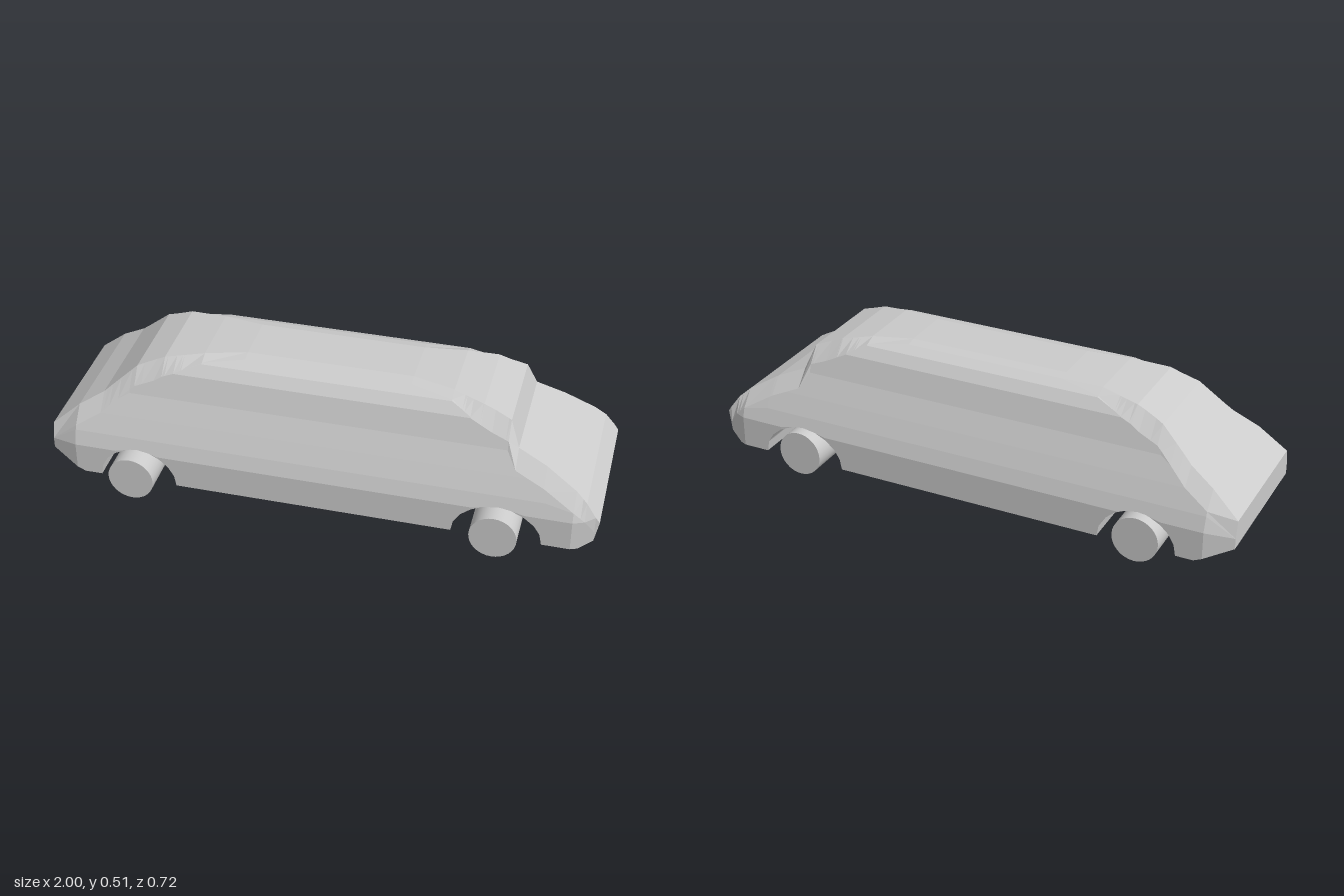
import * as THREE from 'three';

const material = new THREE.MeshStandardMaterial({ color: 0xcccccc, flatShading: true });
const smooth = new THREE.MeshStandardMaterial({ color: 0xcccccc });

// Rear bumper to front bumper, seen from the side: [x, y]
const ROOFLINE = [[-1, 0.2], [-0.9, 0.285], [-0.81, 0.34], [-0.69, 0.447], [-0.59, 0.488], [-0.45, 0.507],
  [-0.3, 0.515], [0.3, 0.515], [0.45, 0.507], [0.56, 0.487], [0.66, 0.45], [0.695, 0.36], [0.8, 0.315],
  [0.91, 0.25], [0.95, 0.215], [1, 0.147]];
const SILL = [[-1, 0.1], [-0.87, 0.04], [0.935, 0.04], [0.985, 0.07], [1, 0.145]];
// Half width of the body by height: [y, half width]
const FLANK = [[0.04, 0.3125], [0.155, 0.3125], [0.21, 0.295], [0.28, 0.265], [0.36, 0.228], [0.45, 0.198],
  [0.488, 0.168], [0.507, 0.128], [0.515, 0.0925]];
const ARCHES = [{ x: -0.663, r: 0.143 }, { x: 0.65, r: 0.16 }];
const ARCH_HEIGHT = 0.13;
const BODY_Z = -0.0125;

function lerpTable(table, t) {
  if (t <= table[0][0]) return table[0][1];
  for (let i = 1; i < table.length; i++) {
    const [x0, y0] = table[i - 1], [x1, y1] = table[i];
    if (t <= x1) return y0 + (y1 - y0) * (t - x0) / (x1 - x0);
  }
  return table[table.length - 1][1];
}

// Underside height, raised over the wheel arches
function underside(x) {
  let y = lerpTable(SILL, x);
  for (const a of ARCHES) {
    const u = (x - a.x) / a.r;
    if (Math.abs(u) < 1) y = 0.04 + ARCH_HEIGHT * Math.sqrt(1 - u * u);
  }
  return y;
}

// One side of a cross-section, bottom to top: [y, half width]
function halfSection(x) {
  const top = lerpTable(ROOFLINE, x), bottom = underside(x);
  const drop = 0.515 - top;
  const endInset = 0.037 * Math.max(0, 1 - (1 - Math.abs(x)) / 0.09);
  const edgeInset = Math.max(endInset, Math.min(0.025, drop * 0.5));
  const shoulder = Math.max(bottom, top - Math.min(0.06, drop * 2));
  const points = FLANK.slice(0, -1).map(([level], i) => {
    const y = i === 0 ? bottom : Math.min(Math.max(level, bottom), shoulder);
    return [y, lerpTable(FLANK, y) - endInset];
  });
  points.push([top, lerpTable(FLANK, top) - edgeInset]);
  return points;
}

function bodyGeometry() {
  // Stations along the length
  const xs = [...ROOFLINE, ...SILL].map((p) => p[0]);
  for (const a of ARCHES)
    for (let i = 0; i <= 10; i++) xs.push(a.x - a.r * Math.cos(Math.PI * i / 10));
  const stations = [...new Set(xs)].sort((a, b) => a - b);

  const sections = stations.map((x) => {
    const half = halfSection(x);
    const left = half.map(([y, w]) => new THREE.Vector3(x, y, BODY_Z + w));
    const right = half.map(([y, w]) => new THREE.Vector3(x, y, BODY_Z - w));
    return [...left, ...right.reverse()];
  });

  const positions = [];
  const tri = (a, b, c) => {
    const area = b.clone().sub(a).cross(c.clone().sub(a)).length();
    if (area > 1e-8) for (const p of [a, b, c]) positions.push(p.x, p.y, p.z);
  };
  const quad = (a, b, c, d) => { tri(a, b, c); tri(a, c, d); };

  // Skin between neighbouring sections
  const n = sections[0].length;
  for (let s = 0; s < sections.length - 1; s++) {
    const A = sections[s], B = sections[s + 1];
    for (let i = 0; i < n; i++) {
      const j = (i + 1) % n;
      quad(A[i], B[i], B[j], A[j]);
    }
  }
  // End faces
  const rear = sections[0], front = sections[sections.length - 1];
  for (let i = 0; i < n / 2 - 1; i++) {
    const k = n - 1 - i;
    quad(front[i], front[k], front[k - 1], front[i + 1]);
    quad(rear[k], rear[i], rear[i + 1], rear[k - 1]);
  }
  const geometry = new THREE.BufferGeometry();
  geometry.setAttribute('position', new THREE.Float32BufferAttribute(positions, 3));
  geometry.computeVertexNormals();
  return geometry;
}

export function createModel() {
  const car = new THREE.Group();
  car.name = 'car';

  const body = new THREE.Mesh(bodyGeometry(), material);
  body.name = 'body';
  car.add(body);

  // Each wheel pair is one full-width roller
  const roller = new THREE.CylinderGeometry(0.084, 0.084, 0.716, 32).rotateX(Math.PI / 2);
  for (const [name, x] of [['rearWheels', -0.672], ['frontWheels', 0.647]]) {
    const wheels = new THREE.Mesh(roller, smooth);
    wheels.name = name;
    wheels.position.set(x, 0.084, 0);
    car.add(wheels);
  }
  return car;
}
